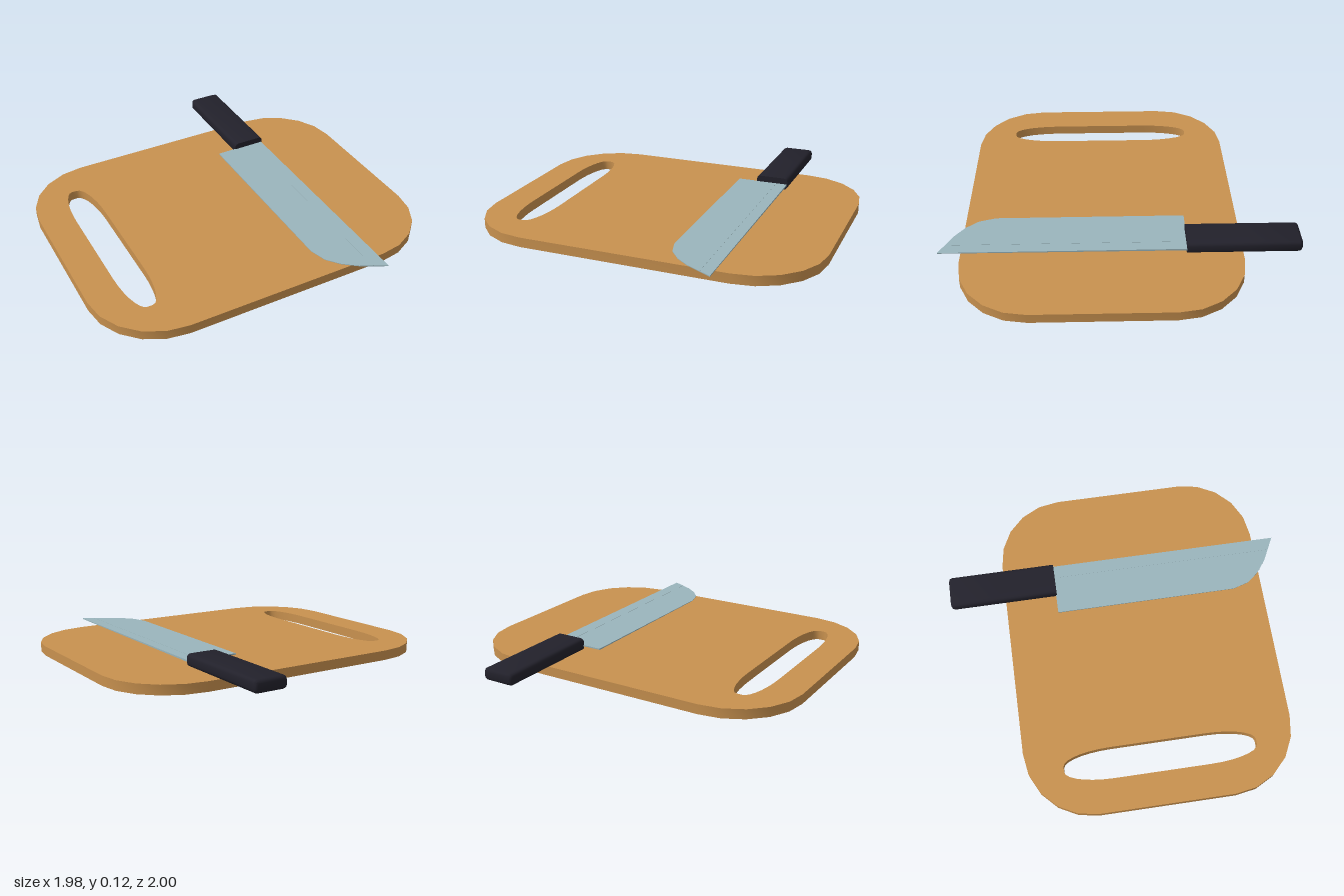
import * as THREE from 'three';
import { toCreasedNormals } from 'three/addons/utils/BufferGeometryUtils.js';

const wood = new THREE.MeshStandardMaterial({ color: 0xc8914f });
wood.name = 'wood';
const steel = new THREE.MeshStandardMaterial({ color: 0x9ab5bc });
steel.name = 'steel';
const black = new THREE.MeshStandardMaterial({ color: 0x22212b });
black.name = 'handleBlack';

// Rectangle with elliptical corners, n segments per corner
function roundedPoints(cx, cy, hw, hh, rx, ry, n) {
  const points = [];
  for (let q = 0; q < 4; q++) {
    const sx = q === 0 || q === 3 ? 1 : -1;
    const sy = q < 2 ? 1 : -1;
    for (let i = 0; i <= n; i++) {
      const a = (q + i / n) * Math.PI / 2;
      points.push(new THREE.Vector2(
        cx + sx * (hw - rx) + rx * Math.cos(a),
        cy + sy * (hh - ry) + ry * Math.sin(a)));
    }
  }
  return points;
}

// Extrude a plan outline (x, -z) upwards
function extrudeUp(shape, depth) {
  return new THREE.ExtrudeGeometry(shape, { depth, bevelEnabled: false }).rotateX(-Math.PI / 2);
}

// Move every vertex by a rule
function reshape(geometry, rule) {
  const p = geometry.attributes.position;
  const v = new THREE.Vector3();
  for (let i = 0; i < p.count; i++) {
    rule(v.fromBufferAttribute(p, i));
    p.setXYZ(i, v.x, v.y, v.z);
  }
  geometry.computeVertexNormals();
  return geometry;
}

function addMesh(parent, name, geometry, material) {
  const mesh = new THREE.Mesh(toCreasedNormals(geometry, 0.7), material);
  mesh.name = name;
  parent.add(mesh);
}

export function createModel() {
  const model = new THREE.Group();
  model.name = 'cuttingBoardAndKnife';

  // Board with a long grip slot
  const board = new THREE.Shape(roundedPoints(0, -0.1, 0.99, 0.775, 0.4, 0.39, 5));
  board.holes.push(new THREE.Path(roundedPoints(-0.713, -0.1, 0.09, 0.555, 0.075, 0.28, 7).reverse()));
  addMesh(model, 'board', extrudeUp(board, 0.055), wood);

  const knife = new THREE.Group();
  knife.name = 'knife';
  model.add(knife);

  // Blade thins towards the cutting edge and the tip
  const bladeY = 0.083;
  const halfThickness = (x, z) => 0.001 + 0.005 * (x - 0.23) + 0.0018 * (1 - z);
  const outline = [[0.23, -0.37], [0.23, 0.7], [0.258, 0.795], [0.315, 0.865],
    [0.39, 0.922], [0.532, 0.995], [0.532, -0.37]];
  const blade = new THREE.Shape(outline.map(([x, z]) => new THREE.Vector2(x, -z)));
  addMesh(knife, 'blade', reshape(extrudeUp(blade, 1), v => {
    v.y = bladeY + (v.y > 0.5 ? 1 : -1) * halfThickness(v.x, v.z);
  }), steel);

  // Fine raised line along the spine
  const ridge = new THREE.BoxGeometry(0.012, 1, 1.29).translate(0.462, 0.5, 0.31);
  addMesh(knife, 'bladeRidge', reshape(ridge, v => {
    v.y = bladeY + (v.y > 0.5 ? 1 : -1) * (halfThickness(v.x, v.z) + 0.001);
  }), steel);

  // Handle: rounded section, softened at the back end
  const hw = 0.096;
  const hh = 0.035;
  const levels = [[-1, 0.016], [-0.995, 0.006], [-0.983, 0], [-0.7, 0], [-0.365, 0]];
  const section = new THREE.Shape(roundedPoints(0, 0, hw, hh, 0.022, 0.02, 3));
  const handle = new THREE.ExtrudeGeometry(section, { depth: 4, steps: 4, bevelEnabled: false });
  addMesh(knife, 'handle', reshape(handle, v => {
    const [z, inset] = levels[Math.round(v.z)];
    v.set(0.44 + v.x * (1 - inset / hw), 0.089 + v.y * (1 - inset / hh), z);
  }), black);

  return model;
}
